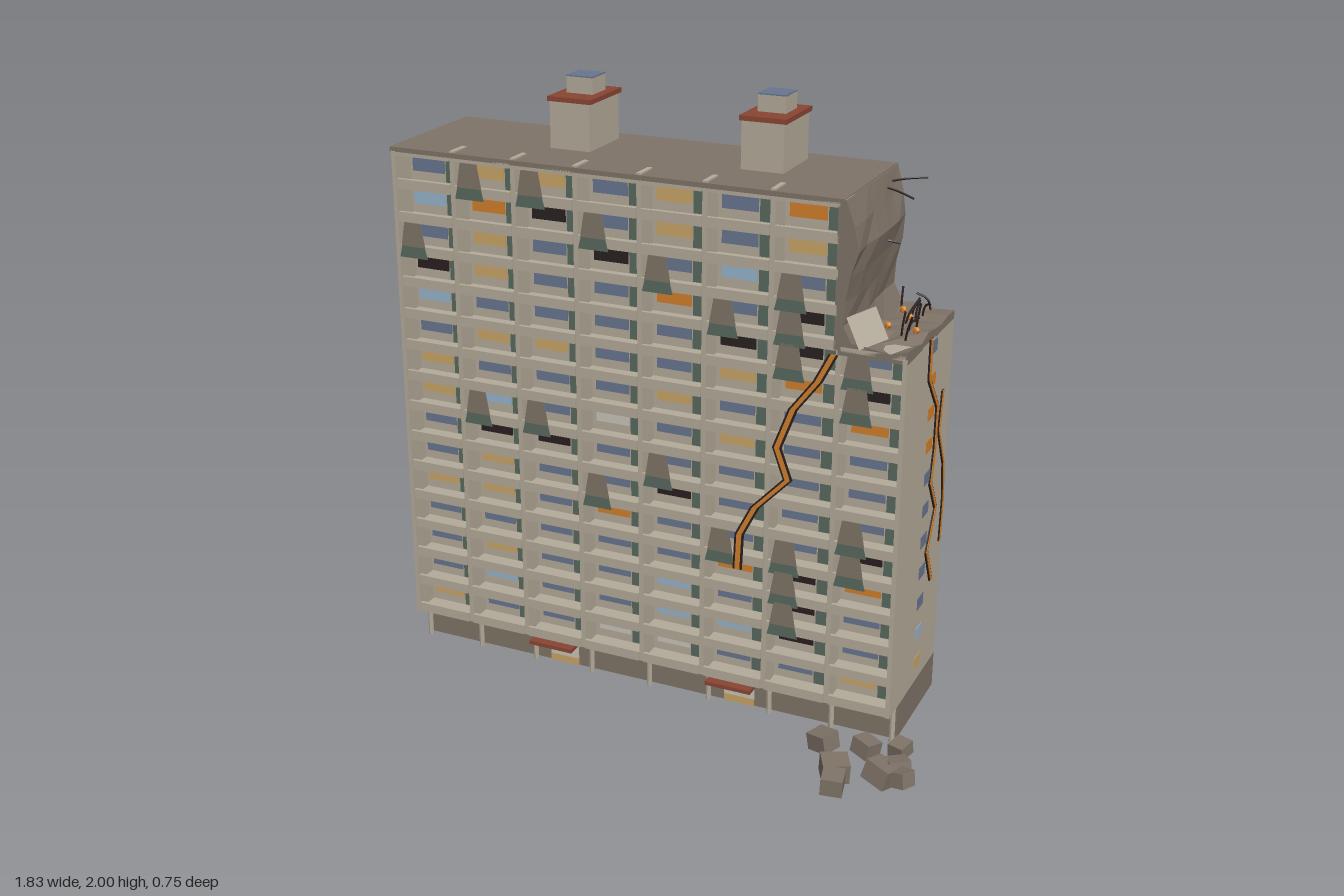
import * as THREE from 'three';
import { mergeGeometries } from 'three/addons/utils/BufferGeometryUtils.js';

const mat = (name, color) => Object.assign(new THREE.MeshStandardMaterial({ color, flatShading: true }), { name });
const M = {
  wall: mat('concrete', 0xb3aa99), brown: mat('weatheredConcrete', 0x7f7367),
  B: mat('blueGlass', 0x68768f), L: mat('paleBlueGlass', 0x96b2ca), Y: mat('tanGlow', 0xc9a466),
  O: mat('fireOrange', 0xd17f2a), W: mat('paleCurtain', 0xc8c4b9), K: mat('charredBlack', 0x2a2020),
  red: mat('rustRed', 0x8a4534), green: mat('doorGreen', 0x58695f),
};

// Box from minimum and maximum corners
const box = (x0, x1, y0, y1, z0, z1) =>
  new THREE.BoxGeometry(x1 - x0, y1 - y0, z1 - z0).translate((x0 + x1) / 2, (y0 + y1) / 2, (z0 + z1) / 2);

// Thin flat plate from outline points
const plate = (pts, depth = 0.003) =>
  new THREE.ExtrudeGeometry(new THREE.Shape(pts.map(p => new THREE.Vector2(...p))), { depth, bevelEnabled: false });

// Zigzag ribbon of constant horizontal width
const ribbon = (pts, w, depth) => plate([
  ...pts.map(([x, y]) => [x + w / 2, y]).reverse(),
  ...pts.map(([x, y]) => [x - w / 2, y])].reverse(), depth);

const noise = (a, b) => { const s = Math.sin(a * 127.1 + b * 311.7) * 43758.5; return s - Math.floor(s); };

const L = -0.912, R = 0.787, CUT = 0.576, TOP = 1.78, LOW = 1.335, BACK = -0.375, FRONT = 0.085;
const BAY = 0.2125, PITCH = 0.1064;
const bayX = i => -0.805 + BAY * i, rowY = k => 0.23 + PITCH * k;
const rowsIn = i => (i === 7 ? 11 : 15);

// Window colours: one string per bay, ground row first
const frontWindows = ['YBBBYBBYYBLKBLB', 'BLYBYYKLBYBYYOY', 'BBBBBBKBBYBBBKY', 'WBBBOBBWBBBBKBB',
  'WLLBBKBBYBBOBYY', 'BLBOBBBYBYKBLBB', 'BKKKBBBBBOKKBYO', 'YBBOKBBBOKB'];
const backWindows = ['YBOOBLBBBBYBLBL', 'LBLBWOOBBYBYBBK', 'KBLBBKBBLBBYBBO', 'BLBYBWBBLBBKBBB',
  'BBWBLBOYOOBOOBL', 'BWBBLBBYBBBLBBB', 'WKBBYBOOKBBKKOB', 'KBBKBOBYBKK'];
const sideWindows = 'YLBBBBBOOOB';
const burning = [[1, 13], [2, 13], [3, 12], [0, 11], [4, 11], [5, 10], [6, 9], [6, 10], [6, 11], [7, 8], [7, 9],
  [1, 6], [2, 6], [4, 5], [3, 4], [5, 3], [7, 3], [7, 4], [6, 1], [6, 2], [6, 3]];

export function createModel() {
  const model = new THREE.Group();
  model.name = 'damagedApartmentBlock';
  const add = (name, material, ...geos) => {
    const flat = geos.map(g => (g.index ? g.toNonIndexed() : g));
    const mesh = new THREE.Mesh(flat.length > 1 ? mergeGeometries(flat) : flat[0], material);
    mesh.name = name;
    model.add(mesh);
    return mesh;
  };

  // Main volume, side walls and roof
  add('tower', M.wall, box(L, CUT, 0.16, TOP - 0.01, BACK, 0), box(CUT, R, 0.16, LOW - 0.01, BACK, 0));
  add('sideWalls', M.wall, box(L, L + 0.014, 0.16, TOP - 0.01, 0, FRONT + 0.003),
    box(R - 0.014, R, 0.16, LOW, 0, FRONT + 0.003));
  add('roof', M.brown, box(L - 0.006, CUT + 0.006, TOP - 0.012, TOP + 0.003, BACK - 0.005, FRONT));

  // Hollow ground floor with slender pillars
  add('groundFloor', M.brown, box(L, R, 0.04, 0.16, -0.02, 0), box(L, R, 0.04, 0.16, BACK, BACK + 0.02),
    box(L, L + 0.02, 0.04, 0.16, BACK + 0.02, -0.02), box(R - 0.02, R, 0.04, 0.16, BACK + 0.02, -0.02));
  const pillars = [], fins = [];
  for (let i = 0; i <= 8; i++) {
    const x = Math.min(Math.max(bayX(i) - BAY / 2, L + 0.009), R - 0.009);
    pillars.push(new THREE.CylinderGeometry(0.009, 0.009, 0.12, 8).translate(x, 0.1, 0.02));
    if (i > 0 && i < 8) fins.push(box(x - 0.008, x + 0.008, 0.16, i === 7 ? TOP : TOP + 0.008, 0, FRONT - 0.006));
  }
  add('pillars', M.wall, ...pillars);
  add('balconyFins', M.wall, ...fins);

  // Balconies, doors and windows
  const balconies = [], doors = [], panes = {};
  const pane = (key, geo) => (panes[key] ??= []).push(geo);
  for (let i = 0; i < 8; i++) {
    const x = bayX(i), a = x - 0.098, b = x + 0.098;
    for (let k = 0; k < rowsIn(i); k++) {
      const y = rowY(k);
      balconies.push(box(a, b, y - 0.069, y - 0.037, FRONT - 0.012, FRONT), box(a, b, y - 0.069, y - 0.058, 0, FRONT - 0.012));
      doors.push(box(x + 0.037, x + 0.079, y - 0.055, y + 0.03, 0, 0.004));
      pane(frontWindows[i][k], box(x - 0.083, x + 0.032, y - 0.028, y + 0.028, 0, 0.005));
      pane(backWindows[i][k], box(x - 0.053, x + 0.053, y - 0.029, y + 0.029, BACK - 0.003, BACK));
    }
    const top = rowY(rowsIn(i) - 1);
    balconies.push(box(a, b, top + 0.037, top + 0.052, 0, FRONT));
  }
  [...sideWindows].forEach((c, k) => pane(c, box(R, R + 0.002, rowY(k) - 0.02, rowY(k) + 0.02, -0.205, -0.148)));
  add('balconies', M.wall, ...balconies);
  add('balconyDoors', M.green, ...doors);
  for (const key in panes) add('windows' + M[key].name, M[key], ...panes[key]);

  // Soot plumes above burnt windows
  const sootLow = [], sootHigh = [];
  const trapezoid = (x, y0, y1, w0, w1) =>
    plate([[x - w0 / 2, y0], [x + w0 / 2, y0], [x + w1 / 2, y1], [x - w1 / 2, y1]]).translate(0, 0, FRONT + 0.001);
  for (const [i, k] of burning) {
    const x = bayX(i) - 0.043, y = rowY(k);
    sootLow.push(trapezoid(x, y + 0.03, y + 0.067, 0.1, 0.082));
    sootHigh.push(trapezoid(x, y + 0.067, y + 0.145, 0.085, 0.058));
  }
  add('lowerSoot', M.green, ...sootLow);
  add('upperSoot', M.brown, ...sootHigh);

  // Glowing cracks on the front and right side
  const frontCrack = [[0.565, 1.32], [0.52, 1.23], [0.445, 1.13], [0.397, 1.0], [0.434, 0.9], [0.33, 0.79], [0.28, 0.69], [0.275, 0.57]];
  const sideCrack = [[0.137, 1.33], [0.137, 1.2], [0.238, 1.08], [0.235, 0.945], [0.21, 0.835], [0.28, 0.727], [0.21, 0.6], [0.275, 0.475]];
  const thinCrack = [[0.29, 1.115], [0.27, 0.985], [0.34, 0.855], [0.36, 0.73], [0.35, 0.58]];
  const onSide = g => g.rotateY(Math.PI / 2).translate(R, 0, 0);
  add('crackEdges', M.K, ribbon(frontCrack, 0.03, 0.004).translate(0, 0, FRONT + 0.003),
    onSide(ribbon(sideCrack, 0.028, 0.004)), onSide(ribbon(thinCrack, 0.02, 0.004)));
  add('crackGlow', M.O, ribbon(frontCrack, 0.016, 0.006).translate(0, 0, FRONT + 0.003),
    onSide(ribbon(sideCrack, 0.015, 0.006)), onSide(ribbon(thinCrack, 0.009, 0.006)));

  // Roof housings and entrances
  for (const x of [-0.385, 0.253]) {
    add('roofHousing', M.wall, box(x - 0.068, x + 0.068, TOP, 1.93, -0.31, -0.108), box(x - 0.045, x + 0.045, 1.945, 1.996, -0.267, -0.177));
    add('housingCap', M.red, box(x - 0.075, x + 0.075, 1.93, 1.945, -0.317, -0.105));
    add('skylight', M.B, box(x - 0.045, x + 0.045, 1.996, 2.0, -0.267, -0.177));
    add('entranceDoor', M.W, box(x - 0.052, x + 0.052, 0.066, 0.145, 0, 0.005));
    add('entranceStep', M.Y, box(x - 0.052, x + 0.052, 0.04, 0.066, 0, 0.006));
    add('entranceCanopy', M.red, box(x - 0.078, x + 0.078, 0.143, 0.156, 0.0, 0.107));
  }
  // Red service strip on the left side
  add('serviceStrip', M.red, box(L - 0.006, L, 0.2, 1.74, -0.325, -0.255));

  // Torn end wall: outer vertices pushed in and out
  const torn = new THREE.BoxGeometry(0.03, TOP - LOW, FRONT - BACK, 1, 6, 5).translate(0.578, (TOP + LOW) / 2, (FRONT + BACK) / 2);
  const tp = torn.attributes.position;
  for (let i = 0; i < tp.count; i++) if (tp.getX(i) > 0.58) {
    const y = tp.getY(i), z = tp.getZ(i);
    tp.setX(i, 0.585 + 0.032 * Math.exp(-(((y - 1.62) / 0.09) ** 2)) + 0.035 * Math.max(0, (1.4 - y) / 0.065) + 0.018 * noise(Math.round(y * 50), Math.round(z * 50)) * (y < 1.77 ? 1 : 0));
  }
  add('tornWall', M.brown, torn);

  // Broken floor: uneven top
  const floor = new THREE.BoxGeometry(R - CUT, 0.03, FRONT - BACK, 4, 1, 7).translate((R + CUT) / 2, LOW, (FRONT + BACK) / 2);
  const fp = floor.attributes.position;
  for (let i = 0; i < fp.count; i++) if (fp.getY(i) > LOW)
    fp.setY(i, LOW + 0.002 + 0.024 * noise(Math.round(fp.getX(i) * 40), Math.round(fp.getZ(i) * 40)));
  add('brokenFloor', M.brown, floor);
  const slab = add('leaningSlab', M.wall, new THREE.BoxGeometry(0.09, 0.1, 0.05));
  slab.position.set(0.65, 1.4, 0.045);
  slab.rotation.set(-0.3, 0.3, 0.5);

  // Bent reinforcing bars and embers
  const bars = [], embers = [];
  const bar = (...pts) => bars.push(new THREE.TubeGeometry(
    new THREE.CatmullRomCurve3(pts.map(p => new THREE.Vector3(...p))), 6, 0.0035, 5));
  bar([0.57, 1.74, -0.3], [0.63, 1.755, -0.31], [0.695, 1.762, -0.33]);
  bar([0.57, 1.745, -0.24], [0.62, 1.73, -0.26], [0.67, 1.705, -0.28]);
  bar([0.57, 1.6, -0.2], [0.62, 1.59, -0.21], [0.65, 1.58, -0.23]);
  for (let i = 0; i < 10; i++) {
    const x = 0.62 + 0.12 * noise(i, 1), z = -0.35 + 0.035 * i, dx = 0.1 * (noise(i, 2) - 0.5), dz = 0.1 * (noise(i, 3) - 0.5);
    bar([x, 1.335, z], [x + dx * 0.3, 1.38, z + dz * 0.2], [x + dx, 1.39 + 0.05 * noise(i, 4), z + dz]);
  }
  add('bentBars', M.K, ...bars);
  for (const [x, z] of [[0.66, -0.26], [0.665, -0.1], [0.755, -0.09], [0.7, -0.2]])
    embers.push(new THREE.IcosahedronGeometry(0.012, 0).translate(x, 1.366, z));
  add('embers', M.O, ...embers);

  // Fallen rubble: x, z, size
  const rubble = [[0.585, 0.115, 0.075], [0.72, 0.095, 0.07], [0.82, 0.06, 0.06], [0.672, 0.25, 0.085], [0.693, 0.325, 0.075],
    [0.81, 0.215, 0.085], [0.845, 0.165, 0.07], [0.872, 0.22, 0.065]];
  rubble.forEach(([x, z, s], i) => {
    const chunk = add('rubble', M.brown, new THREE.BoxGeometry(s, s * 0.75, s * 0.9));
    chunk.position.set(x, 0.05, z);
    chunk.rotation.set(0.5 * noise(i, 5) - 0.25, 3 * noise(i, 6), 0.6 * noise(i, 7) - 0.3);
  });
  return model;
}
